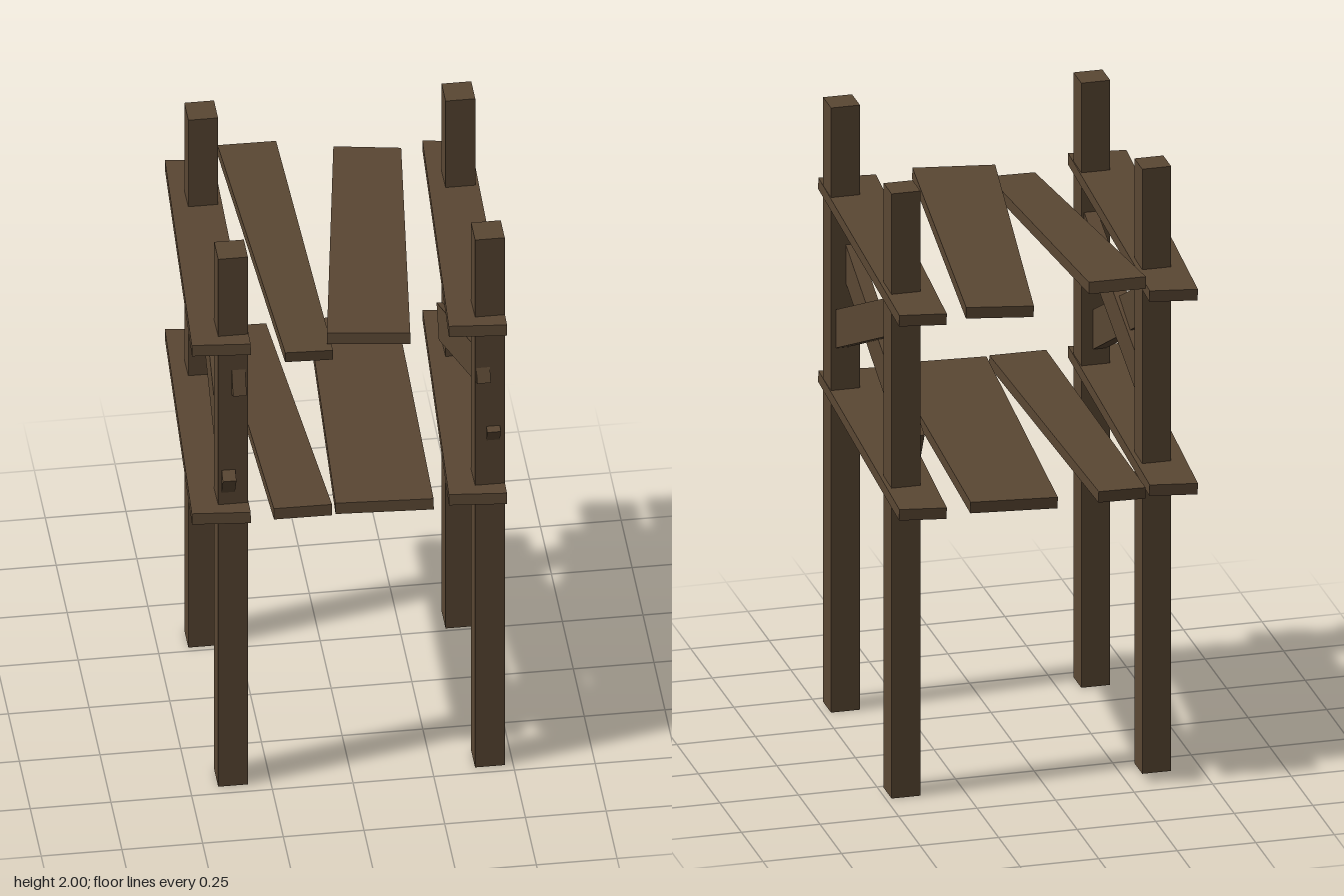
import * as THREE from 'three';

const wood = new THREE.MeshStandardMaterial({ color: 0x5a4733 });
wood.name = 'dark wood';

// Box whose vertices are moved by a rule; u, v, w run from -0.5 to 0.5
function board(name, rule) {
  const geo = new THREE.BoxGeometry(1, 1, 1);
  const pos = geo.attributes.position;
  for (let i = 0; i < pos.count; i++) {
    pos.setXYZ(i, ...rule(pos.getX(i), pos.getY(i), pos.getZ(i)));
  }
  geo.computeVertexNormals();
  const mesh = new THREE.Mesh(geo, wood);
  mesh.name = name;
  return mesh;
}

// Tapered floor plank: corners as [x, z], sloping from front height to back height
function plank(name, backLeft, backRight, frontLeft, frontRight, yFront, yBack) {
  return board(name, (u, v, w) => {
    const [x, z] = w < 0 ? (u < 0 ? backLeft : backRight) : (u < 0 ? frontLeft : frontRight);
    const y = THREE.MathUtils.lerp(yBack, yFront, (z + 0.53) / 1.06);
    return [x, y + v * 0.038, z + v * 0.004 * Math.sign(yBack - yFront)];
  });
}

// Diagonal brace: front and back end centres as [x, y, z], cut square
function brace(name, front, back) {
  const a = new THREE.Vector3(...front), b = new THREE.Vector3(...back);
  const angle = Math.atan2(a.y - b.y, a.z - b.z);
  return board(name, (u, v, w) => {
    const p = b.clone().lerp(a, w + 0.5);
    const half = v * 0.116;
    return [p.x + u * 0.042, p.y + half * Math.cos(angle), p.z - half * Math.sin(angle)];
  });
}

export function createModel() {
  const model = new THREE.Group();
  model.name = 'woodenTower';

  // Corner posts
  const posts = [
    ['backRightPost', -0.36, -0.315], ['backLeftPost', 0.436, -0.308],
    ['frontRightPost', -0.367, 0.418], ['frontLeftPost', 0.428, 0.424],
  ];
  for (const [name, x, z] of posts) {
    const post = new THREE.Mesh(new THREE.BoxGeometry(0.092, 2, 0.092), wood);
    post.position.set(x, 1, z);
    post.name = name;
    model.add(post);
  }

  // Two decks share the outer planks; the middle ones differ
  for (const [deck, yFront, yBack] of [['lower', 1.054, 0.998], ['upper', 1.692, 1.64]]) {
    model.add(
      plank(deck + 'RightPlank', [-0.442, -0.538], [-0.295, -0.515], [-0.5, 0.505], [-0.32, 0.523], yFront, yBack),
      plank(deck + 'LeftPlank', [0.355, -0.53], [0.5, -0.508], [0.295, 0.512], [0.473, 0.53], yFront, yBack),
    );
  }
  model.add(
    plank('lowerNarrowPlank', [-0.278, -0.53], [-0.13, -0.525], [-0.247, 0.513], [-0.067, 0.515], 1.054, 0.998),
    plank('lowerWidePlank', [0.003, -0.535], [0.273, -0.508], [-0.056, 0.51], [0.246, 0.528], 1.054, 0.998),
    plank('upperNarrowPlank', [-0.281, -0.525], [-0.1, -0.523], [-0.212, 0.512], [-0.065, 0.518], 1.642, 1.692),
    plank('upperWidePlank', [0.08, -0.538], [0.285, -0.5], [-0.08, 0.495], [0.173, 0.533], 1.692, 1.64),
  );

  // Crossed braces on both sides, ends poking through the front posts
  model.add(
    brace('leftRisingBrace', [0.438, 1.228, 0.466], [0.436, 1.58, -0.31]),
    brace('leftFallingBrace', [0.407, 1.522, 0.466], [0.393, 1.132, -0.31]),
    brace('rightRisingBrace', [-0.382, 1.129, 0.472], [-0.36, 1.538, -0.31]),
    brace('rightFallingBrace', [-0.35, 1.552, 0.474], [-0.36, 1.215, -0.31]),
  );

  return model;
}
